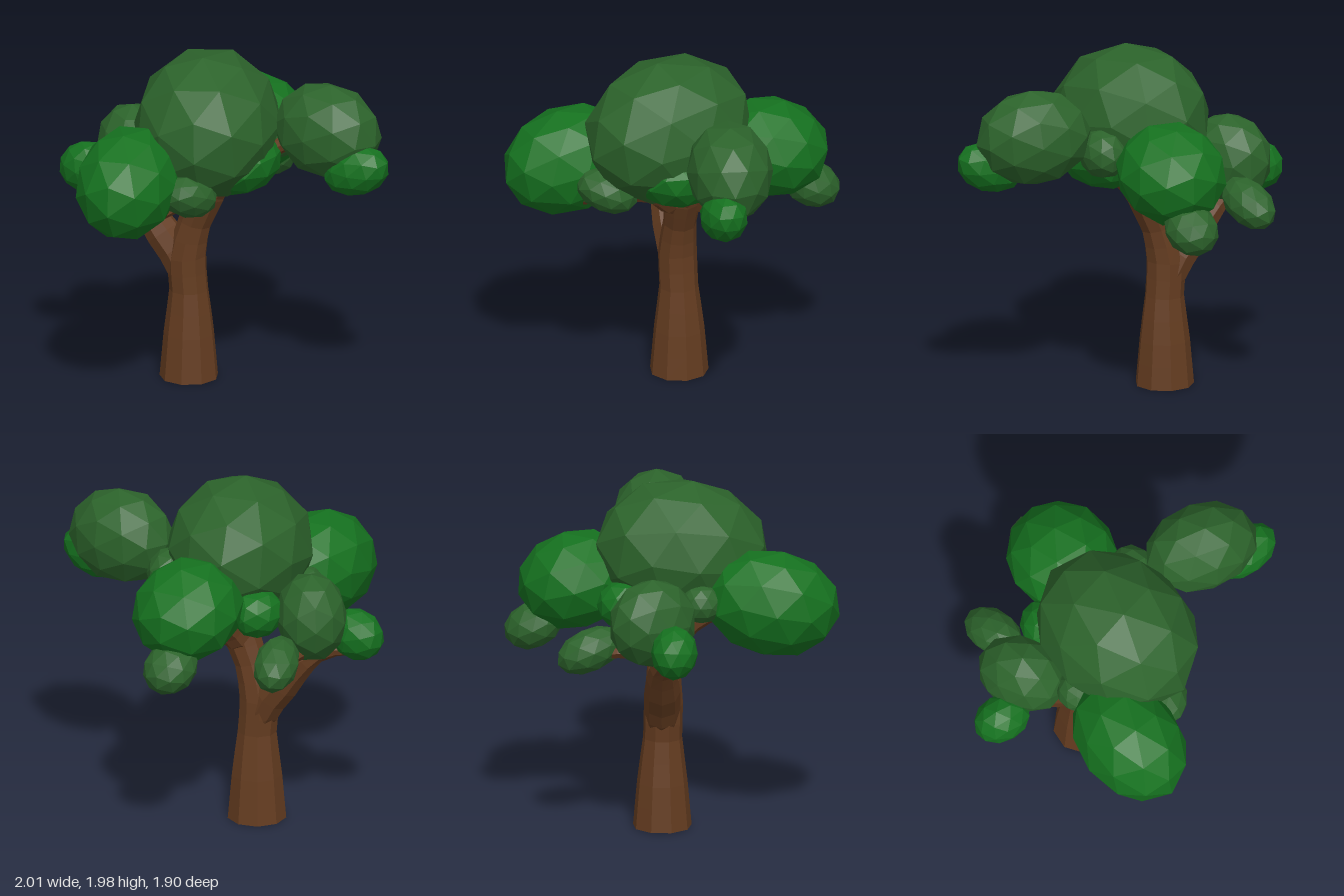
import * as THREE from 'three';

const bark = new THREE.MeshStandardMaterial({ color: 0x643c20, flatShading: true });
const darkLeaf = new THREE.MeshStandardMaterial({ color: 0x2c632b, flatShading: true });
const brightLeaf = new THREE.MeshStandardMaterial({ color: 0x15711f, flatShading: true });

// Tapered limb with closed ends; each point is [x, y, z, radius]
function limb(name, points, sides = 8, rings = 8) {
  const curve = new THREE.CatmullRomCurve3(points.map(p => new THREE.Vector3(p[0], p[1], p[2])));
  const geo = new THREE.TubeGeometry(curve, rings + 2, 1, sides);
  const pos = geo.attributes.position, nor = geo.attributes.normal;
  const n = new THREE.Vector3();
  for (let i = 0; i < pos.count; i++) {
    const row = Math.floor(i / (sides + 1));
    const t = THREE.MathUtils.clamp((row - 1) / rings, 0, 1);
    const k = t * (points.length - 1);
    const a = Math.min(Math.floor(k), points.length - 2);
    const isCap = row === 0 || row === rings + 2;
    const r = isCap ? 0 : THREE.MathUtils.lerp(points[a][3], points[a + 1][3], k - a);
    const c = curve.getPoint(t);
    n.fromBufferAttribute(nor, i);
    if (row <= 1) n.y = 0; // level first ring
    pos.setXYZ(i, c.x + n.x * r, c.y + n.y * r, c.z + n.z * r);
  }
  const mesh = new THREE.Mesh(geo, bark);
  mesh.name = name;
  return mesh;
}

// Faceted ellipsoid of foliage
function foliage(name, material, centre, radii, tilt = [0, 0, 0]) {
  const mesh = new THREE.Mesh(new THREE.IcosahedronGeometry(1.025, 1), material);
  mesh.name = name;
  mesh.position.set(...centre);
  mesh.scale.set(...radii);
  mesh.rotation.set(...tilt);
  return mesh;
}

export function createModel() {
  const tree = new THREE.Group();
  tree.name = 'tree';

  // Trunk and branches
  tree.add(
    limb('trunk', [[-0.245, 0, -0.057, 0.168], [-0.245, 0.26, -0.057, 0.145], [-0.245, 0.52, -0.055, 0.112],
      [-0.255, 0.72, -0.05, 0.112], [-0.205, 0.93, -0.05, 0.095], [-0.13, 1.12, -0.05, 0.108],
      [-0.1, 1.27, -0.07, 0.12]], 9, 12),
    limb('leftBranch', [[-0.26, 0.58, -0.055, 0.09], [-0.31, 0.71, -0.055, 0.105], [-0.42, 0.855, -0.05, 0.102],
      [-0.54, 1.0, -0.045, 0.08], [-0.65, 1.075, -0.02, 0.055], [-0.87, 1.1, 0.02, 0.02]]),
    limb('frontBranch', [[-0.16, 1.02, -0.05, 0.085], [-0.1, 1.17, 0.1, 0.078], [-0.05, 1.225, 0.28, 0.06],
      [-0.1, 1.2, 0.46, 0.045], [-0.19, 1.13, 0.6, 0.022]]),
    limb('backBranch', [[-0.16, 1.02, -0.05, 0.085], [-0.11, 1.18, -0.17, 0.09], [-0.09, 1.29, -0.36, 0.068],
      [-0.08, 1.38, -0.55, 0.03]]),
    limb('rightBranch', [[-0.16, 1.04, -0.05, 0.085], [0, 1.26, -0.05, 0.08], [0.25, 1.42, -0.1, 0.05],
      [0.5, 1.52, -0.12, 0.03]]),
    limb('backLeftTwig', [[-0.61, 1.07, -0.04, 0.045], [-0.64, 1.13, -0.2, 0.038], [-0.61, 1.11, -0.38, 0.03],
      [-0.59, 1.01, -0.53, 0.015]], 6)
  );

  // Foliage clumps
  tree.add(
    foliage('crown', darkLeaf, [-0.08, 1.57, 0.05], [0.41, 0.405, 0.495], [0.16, 0.28, 0]),
    foliage('rightClump', darkLeaf, [0.59, 1.57, -0.12], [0.325, 0.27, 0.24], [0, -0.18, -0.08]),
    foliage('rightTipClump', brightLeaf, [0.815, 1.395, -0.02], [0.2, 0.14, 0.13], [0, 0, 0.35]),
    foliage('frontClump', brightLeaf, [-0.33, 1.34, 0.57], [0.285, 0.3, 0.38], [0.22, 0.12, 0]),
    foliage('backClump', brightLeaf, [-0.07, 1.395, -0.55], [0.305, 0.275, 0.33], [-0.28, 0, 0]),
    foliage('backTipClump', darkLeaf, [-0.09, 1.13, -0.79], [0.15, 0.13, 0.17], [-0.45, 0, 0]),
    foliage('leftClump', darkLeaf, [-0.62, 1.3, -0.1], [0.2, 0.25, 0.26], [0, 0.6, 0]),
    foliage('leftTipClump', brightLeaf, [-0.84, 1.19, 0.03], [0.165, 0.145, 0.13], [0, -0.1, 0.25]),
    foliage('backLeftClump', darkLeaf, [-0.59, 1.13, -0.455], [0.125, 0.12, 0.195], [-0.4, 0.25, 0]),
    foliage('frontInnerClump', darkLeaf, [-0.02, 1.26, 0.43], [0.14, 0.12, 0.18], [-0.4, -0.35, 0]),
    foliage('lowerClump', brightLeaf, [0.11, 1.36, 0.04], [0.24, 0.18, 0.255], [0, 0, 0.3]),
    foliage('backRightClump', darkLeaf, [0.21, 1.46, -0.23], [0.13, 0.14, 0.16]),
    foliage('backInnerClump', brightLeaf, [-0.36, 1.33, -0.26], [0.14, 0.14, 0.16]),
    foliage('leftInnerClump', darkLeaf, [-0.43, 1.36, 0.17], [0.11, 0.11, 0.12])
  );
  return tree;
}
